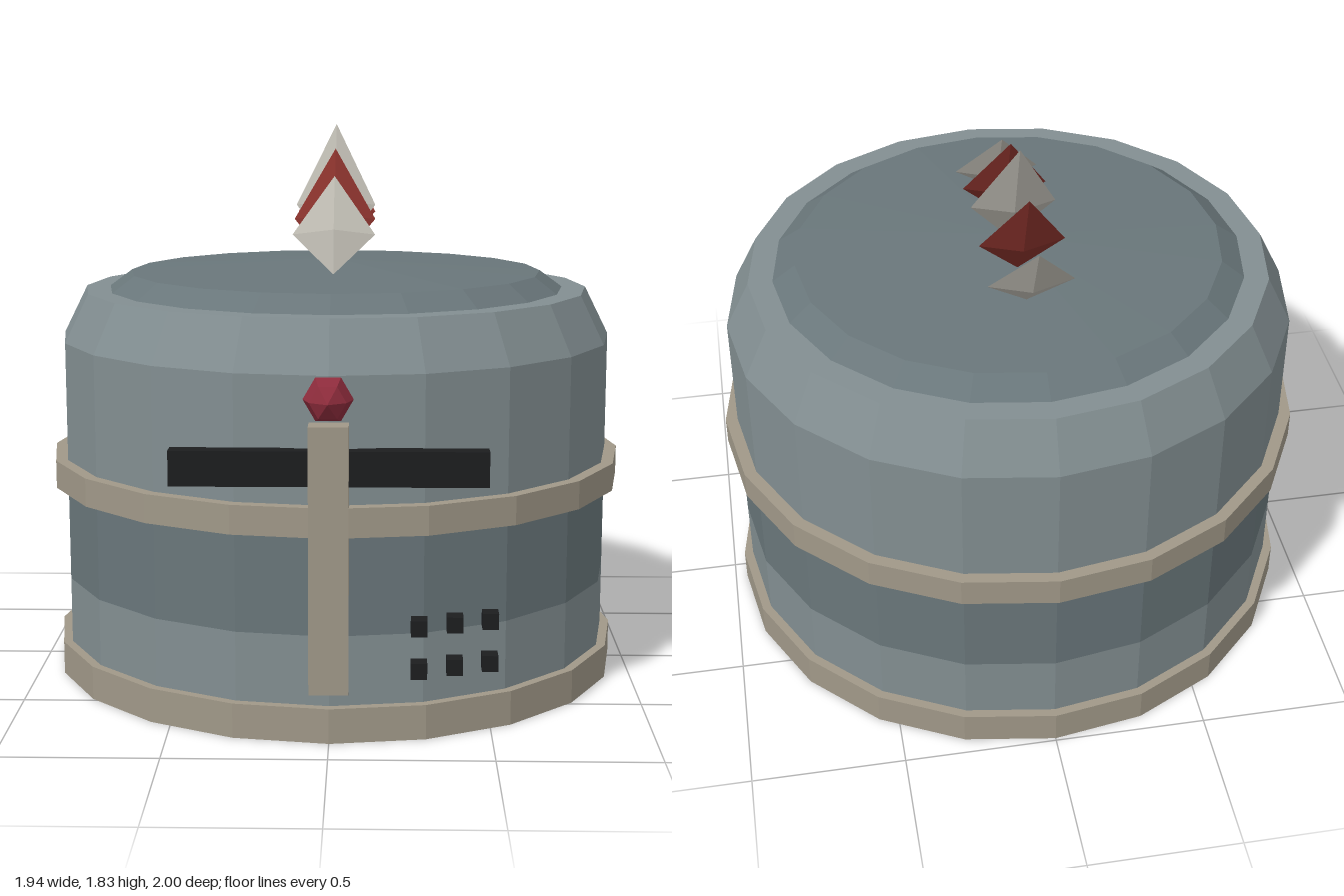
import * as THREE from 'three';

const mat = (color) => new THREE.MeshStandardMaterial({ color, flatShading: true });
const steel = mat(0x828e91), darkSteel = mat(0x69767a), brass = mat(0xa09888);
const black = mat(0x1c1d1f), red = mat(0x84302a), pale = mat(0xb9b6ad), ruby = mat(0x8e2c3c);

export function createModel() {
  const model = new THREE.Group();
  model.name = 'helmet';

  const add = (parent, name, geometry, material, x = 0, y = 0, z = 0) => {
    const mesh = new THREE.Mesh(geometry, material);
    mesh.name = name;
    mesh.position.set(x, y, z);
    parent.add(mesh);
    return mesh;
  };

  // Twenty-sided shell, slightly narrower front to back
  const shell = new THREE.Group();
  shell.name = 'shell';
  shell.position.z = -0.06;
  shell.scale.z = 0.97;
  model.add(shell);
  const ring = (name, material, profile) =>
    add(shell, name, new THREE.LatheGeometry(profile.map(([r, y]) => new THREE.Vector2(r, y)), 20), material);

  ring('lowerWall', steel, [[0.93, 0.05], [0.93, 0.33]]);
  ring('middleWall', darkSteel, [[0.93, 0.33], [0.93, 0.7]]);
  ring('upperWall', steel, [[0.93, 0.7], [0.93, 1.13], [0.85, 1.29], [0.76, 1.29]]);
  ring('crown', darkSteel, [[0.77, 1.29], [0.695, 1.345], [0, 1.385]]);
  ring('innerWall', steel, [[0, 1.26], [0.76, 1.26], [0.85, 1.11], [0.85, 0]]);
  ring('bottomBand', brass, [[0.85, 0], [0.96, 0], [0.96, 0.11], [0.92, 0.11]]);
  ring('middleBand', brass, [[0.92, 0.645], [0.97, 0.645], [0.97, 0.737], [0.92, 0.737]]);

  // Face: nose guard, eye slit and breathing holes on the left cheek
  add(model, 'noseGuard', new THREE.BoxGeometry(0.12, 0.82, 0.075), brass, 0, 0.58, 0.878);
  add(model, 'eyeSlit', new THREE.BoxGeometry(0.955, 0.108, 0.055), black, 0, 0.855, 0.845);
  for (const y of [0.226, 0.36]) {
    for (const [x, z] of [[0.273, 0.83], [0.383, 0.79], [0.493, 0.75]]) {
      add(model, 'breathingHole', new THREE.BoxGeometry(0.05, 0.05, 0.055), black, x, y, z);
    }
  }

  // Six-sided domed gem facing forward, closed at the back
  const gemProfile = [[0, 0], [0.075, 0], [0.055, 0.06], [0, 0.095]].map(([r, y]) => new THREE.Vector2(r, y));
  const gem = new THREE.LatheGeometry(gemProfile, 6).rotateY(Math.PI / 2).rotateX(Math.PI / 2);
  add(model, 'browGem', gem, ruby, 0, 1.072, 0.905);

  // Crest feathers: long diamonds leaning back, widest at 40% of their length
  const feather = (base, tip) => {
    const [z0, y0] = base, [z1, y1] = tip;
    const dz = z1 - z0, dy = y1 - y0, len = Math.hypot(dz, dy);
    const t = 0.034, my = y0 + dy * 0.4, mz = z0 + dz * 0.4;
    const oy = -dz / len * t, oz = dy / len * t;
    const corners = [[0.135, my, mz], [0, my - oy, mz - oz], [-0.135, my, mz], [0, my + oy, mz + oz]];
    const points = [];
    for (let i = 0; i < 4; i++) {
      const a = corners[i], b = corners[(i + 1) % 4];
      points.push(a, b, [0, y1, z1], b, a, [0, y0, z0]);
    }
    const g = new THREE.BufferGeometry();
    g.setAttribute('position', new THREE.Float32BufferAttribute(points.flat(), 3));
    g.computeVertexNormals();
    return g;
  };
  const crest = new THREE.Group();
  crest.name = 'crest';
  model.add(crest);
  [
    [0.263, 1.365, 1.67], [0.1, 1.372, 1.753], [-0.065, 1.38, 1.83],
    [-0.228, 1.372, 1.753], [-0.392, 1.365, 1.67],
  ].forEach(([z, y0, y1], i) =>
    add(crest, 'crestFeather', feather([z, y0], [z - 0.202, y1]), i % 2 ? red : pale));

  return model;
}
